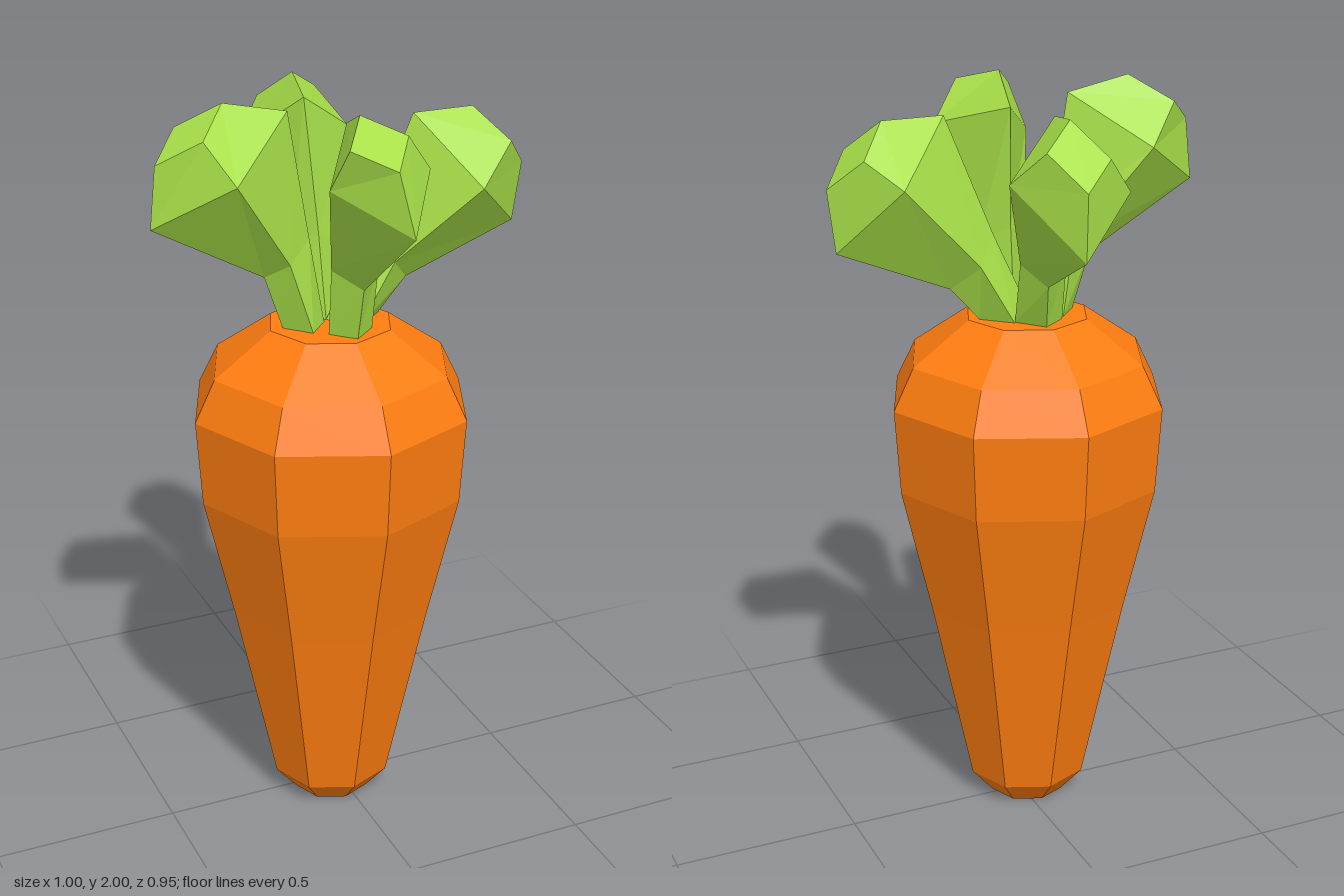
import * as THREE from 'three';

const material = (color) => new THREE.MeshStandardMaterial({ color, flatShading: true });

// Each leaf is four diamond sections from base to tip: [inner corner, outer corner, half-width vector]
const LEAVES = {
  leftLeaf: [
    [[-0.03, 1.4, 0], [0.11, 1.4, 0.01], [0, 0, 0.06]],
    [[0.07, 1.62, 0.01], [0.19, 1.49, 0.01], [0, 0, 0.06]],
    [[0.19, 1.93, 0.04], [0.485, 1.61, 0.03], [-0.015, -0.015, 0.143]],
    [[0.355, 1.93, 0.04], [0.5, 1.77, 0.045], [0, 0, 0.075]],
  ],
  rightLeaf: [
    [[-0.04, 1.4, 0.01], [-0.155, 1.4, 0.01], [0, 0, -0.065]],
    [[-0.08, 1.63, 0.01], [-0.205, 1.545, 0.015], [0.015, 0, -0.06]],
    [[-0.14, 1.965, 0.02], [-0.5, 1.71, 0.02], [0.01, 0, -0.15]],
    [[-0.305, 2, 0.01], [-0.485, 1.87, 0.025], [-0.01, 0, -0.075]],
  ],
  frontLeaf: [
    [[0, 1.4, 0.04], [-0.01, 1.4, 0.155], [-0.06, 0, 0]],
    [[0, 1.62, 0.06], [-0.01, 1.54, 0.19], [-0.065, 0, 0]],
    [[0, 1.93, 0.06], [-0.01, 1.76, 0.475], [-0.127, -0.015, -0.01]],
    [[-0.04, 1.995, 0.225], [-0.03, 1.91, 0.425], [-0.075, -0.01, 0]],
  ],
  backLeaf: [
    [[-0.03, 1.4, 0], [-0.02, 1.4, -0.12], [0.062, 0, 0.01]],
    [[-0.025, 1.62, -0.06], [0, 1.52, -0.172], [0.062, 0, 0.005]],
    [[-0.025, 1.945, -0.15], [0.045, 1.665, -0.48], [0.145, 0.015, 0.033]],
    [[0.01, 1.97, -0.31], [0.04, 1.83, -0.475], [0.075, 0.01, 0.017]],
  ],
};

// Skins the diamond sections and closes both ends
function leafGeometry(sections) {
  const positions = [];
  const index = [];
  for (const [a, b, s] of sections) {
    const inner = new THREE.Vector3(...a);
    const outer = new THREE.Vector3(...b);
    const side = new THREE.Vector3(...s);
    const mid = inner.clone().lerp(outer, 0.5);
    for (const p of [inner, mid.clone().add(side), outer, mid.clone().sub(side)]) {
      positions.push(p.x, p.y, p.z);
    }
  }
  for (let i = 0; i < sections.length - 1; i++) {
    for (let j = 0; j < 4; j++) {
      const a = i * 4 + j;
      const b = i * 4 + ((j + 1) % 4);
      index.push(a, b, b + 4, a, b + 4, a + 4);
    }
  }
  const t = (sections.length - 1) * 4;
  index.push(t, t + 1, t + 2, t, t + 2, t + 3, 0, 2, 1, 0, 3, 2);
  const geometry = new THREE.BufferGeometry();
  geometry.setAttribute('position', new THREE.Float32BufferAttribute(positions, 3));
  geometry.setIndex(index);
  const flat = geometry.toNonIndexed();
  flat.computeVertexNormals();
  return flat;
}

export function createModel() {
  const model = new THREE.Group();
  model.name = 'carrot';

  // Eight-sided root, closed top and bottom
  const profile = [
    [0, 0], [0.105, 0], [0.165, 0.07], [0.278, 0.6], [0.36, 0.95],
    [0.375, 1.18], [0.32, 1.29], [0.165, 1.4], [0, 1.4],
  ].map(([r, y]) => new THREE.Vector2(r, y));
  const rootGeometry = new THREE.LatheGeometry(profile, 8).toNonIndexed();
  rootGeometry.computeVertexNormals();
  const root = new THREE.Mesh(rootGeometry, material(0xff7d10));
  root.name = 'root';
  root.position.set(-0.026, 0, 0.016);
  model.add(root);

  // Four leaves fanning out from the crown
  const leaves = new THREE.Group();
  leaves.name = 'leaves';
  const green = material(0xa8e048);
  for (const [name, sections] of Object.entries(LEAVES)) {
    const leaf = new THREE.Mesh(leafGeometry(sections), green);
    leaf.name = name;
    leaves.add(leaf);
  }
  model.add(leaves);
  return model;
}
